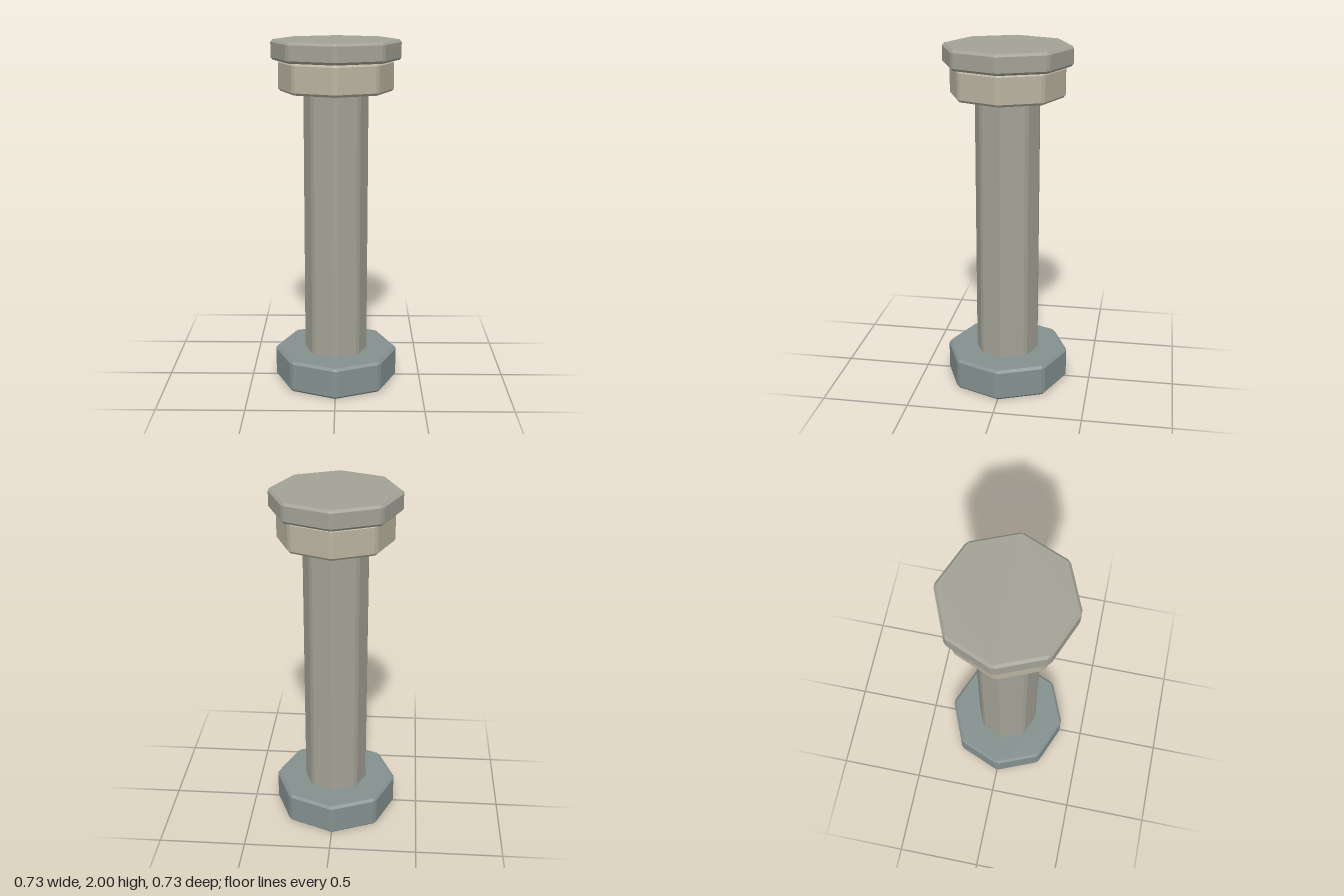
import * as THREE from 'three';
import { ConvexGeometry } from 'three/addons/geometries/ConvexGeometry.js';

const BEVEL = 0.014;
const SIDES = 8;

// Octagonal prism, corners on the axes, with every edge cut by one flat bevel
function beveledOctagon(name, radius, bottom, top, color) {
  const half = Math.PI / SIDES;
  const inset = radius - BEVEL / Math.cos(half);      // corner radius of the end caps
  const flatApothem = radius - BEVEL * Math.sin(half); // middle of each cut corner
  const flatHalf = BEVEL * Math.cos(half);             // half width of each cut corner
  const points = [];
  for (let i = 0; i < SIDES; i++) {
    const a = i * 2 * half;
    const c = Math.cos(a), s = Math.sin(a);
    for (const y of [bottom, top]) points.push(new THREE.Vector3(inset * c, y, inset * s));
    for (const y of [bottom + BEVEL, top - BEVEL]) {
      for (const t of [-flatHalf, flatHalf]) {
        points.push(new THREE.Vector3(flatApothem * c - t * s, y, flatApothem * s + t * c));
      }
    }
  }
  const material = new THREE.MeshStandardMaterial({ color, flatShading: true });
  const mesh = new THREE.Mesh(new ConvexGeometry(points), material);
  mesh.name = name;
  return mesh;
}

export function createModel() {
  const group = new THREE.Group();
  group.name = 'column';
  const stone = 0xa3a296;
  group.add(
    beveledOctagon('base', 0.363, 0, 0.185, 0x84918f),
    // The shaft ends are sunk into the base and the collar
    beveledOctagon('shaft', 0.188, 0.16, 1.74, stone),
    beveledOctagon('collar', 0.329, 1.715, 1.888, 0xb9b3a0),
    beveledOctagon('capSlab', 0.369, 1.888, 2, stone),
  );
  return group;
}
